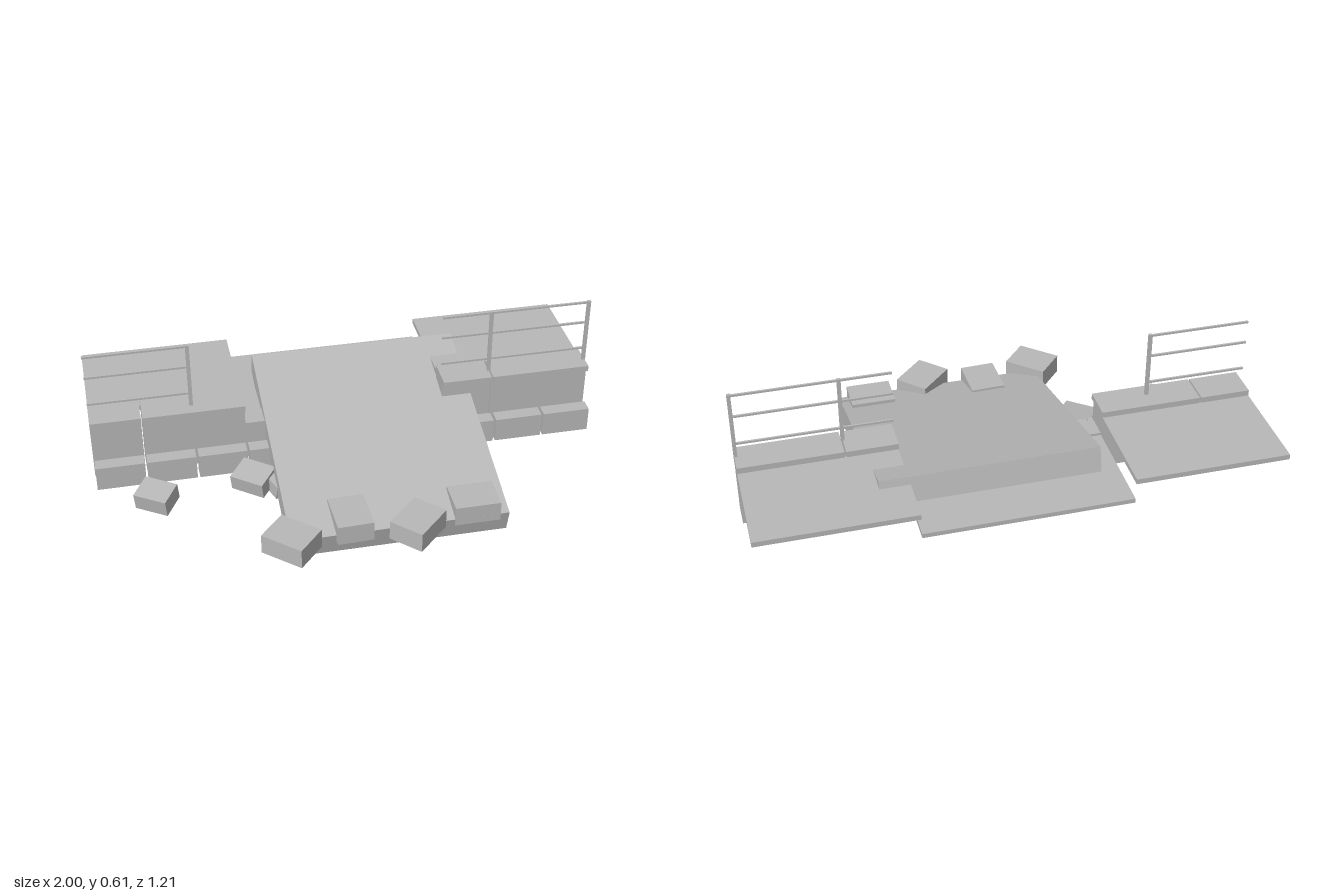
import * as THREE from 'three';

const concrete = new THREE.MeshStandardMaterial({ color: 0xb8b8b8 });
concrete.name = 'concrete grey';

export function createModel() {
  const model = new THREE.Group();
  model.name = 'brokenPromenade';

  // Box given by its limits on each axis
  const slab = (name, [x0, x1], [y0, y1], [z0, z1]) => {
    const mesh = new THREE.Mesh(new THREE.BoxGeometry(x1 - x0, y1 - y0, z1 - z0), concrete);
    mesh.position.set((x0 + x1) / 2, (y0 + y1) / 2, (z0 + z1) / 2);
    mesh.name = name;
    model.add(mesh);
    return mesh;
  };

  // Box given by centre, size, turn about y and tilt, in degrees
  const tilted = (name, centre, size, turn, tilt) => {
    const mesh = new THREE.Mesh(new THREE.BoxGeometry(...size), concrete);
    mesh.position.set(...centre);
    mesh.rotation.set(THREE.MathUtils.degToRad(tilt), THREE.MathUtils.degToRad(turn), 0, 'YXZ');
    mesh.name = name;
    model.add(mesh);
  };

  // Full height wall panels, with narrow joints, on both sides of the breach
  for (const [a, b] of [[-1, -0.803], [-0.797, -0.4], [0.395, 0.592], [0.598, 0.995]]) {
    slab('wallPanel', [a, b], [0.07, 0.31], [-0.2, -0.1]);
    slab('coping', [a, b], [0.31, 0.334], [-0.21, -0.077]);
  }
  slab('sunkenWall', [-0.4, 0.395], [0.07, 0.232], [-0.2, -0.108]);

  // Decks behind the wall, in strips: high at the sides, sunken in the middle
  for (let i = 0; i < 10; i++) {
    const x = -1 + i * 0.1995;
    const high = i < 3 || i > 6;
    slab('deckStrip', [x, x + 0.1995], high ? [0.289, 0.31] : [0.204, 0.222], [-0.608, -0.2]);
  }

  // Row of kerb blocks in front of the wall
  for (let i = 0; i < 10; i++) {
    const x = -1 + i * 0.1995;
    slab('kerbBlock', [x + 0.003, x + 0.193], [0.07, 0.17], [-0.065, -0.01]);
  }

  // Fallen slab forming a ramp
  tilted('ramp', [0.095, 0.171, 0.016], [0.835, 0.1, 0.932], 0, 15);

  // Railings
  for (const x of [-0.604, 0.592, 0.99]) slab('railPost', [x - 0.007, x + 0.007], [0.31, 0.608], [-0.138, -0.126]);
  for (const span of [[-1, -0.6], [0.395, 0.993]]) {
    for (const y of [0.39, 0.51, 0.602]) slab('handRail', span, [y - 0.004, y + 0.004], [-0.136, -0.128]);
  }

  // Loose blocks: x, y, z, width, height, depth, turn, tilt
  const blocks = [
    [-0.78, 0.108, 0.122, 0.135, 0.07, 0.105, -33, 9],
    [-0.4, 0.11, 0.086, 0.14, 0.065, 0.112, -38, 9],
    [-0.285, 0.1, 0.1, 0.14, 0.06, 0.11, 25, 10],
    [-0.322, 0.11, 0.49, 0.174, 0.08, 0.14, -42, 0],
    [-0.085, 0.11, 0.41, 0.138, 0.08, 0.176, 2, 0],
    [0.155, 0.11, 0.49, 0.14, 0.08, 0.174, -45, 0],
    [0.39, 0.11, 0.41, 0.176, 0.08, 0.138, 0, 0],
  ];
  for (const [x, y, z, w, h, d, turn, tilt] of blocks) {
    tilted('looseBlock', [x, y, z], [w, h, d], turn, tilt);
  }

  return model;
}
